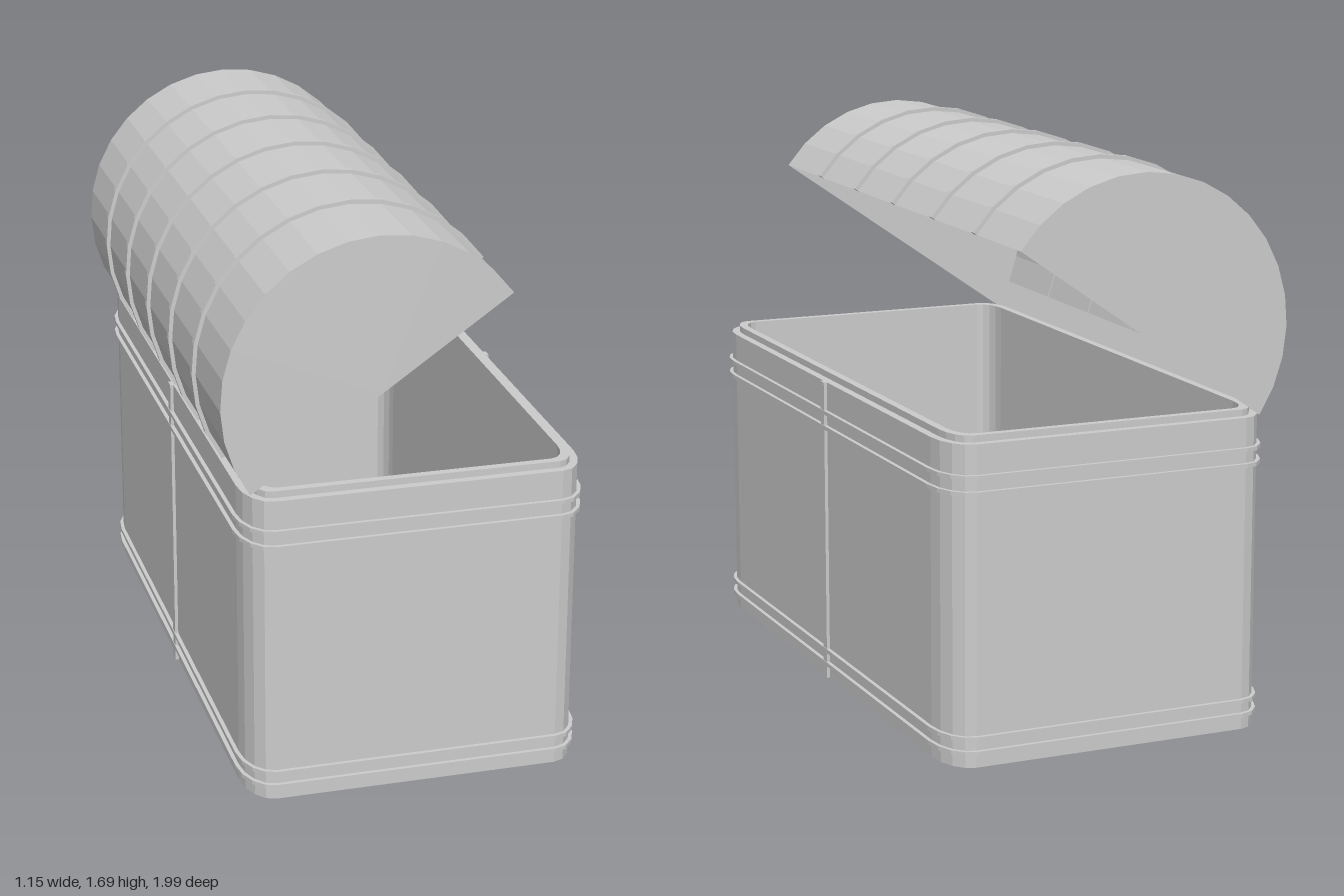
import * as THREE from 'three';

const A = 0.505, B = 0.972;      // half width and half length of the chest box
const RX = 0.08, RZ = 0.14;      // elliptical corner radii
const LID_R = 0.465, LID_HALF = 0.935;

// Rounded rectangle outline grown (or shrunk) by o, with faceted corners
function outline(o, PathType = THREE.Shape) {
  const rx = Math.max(RX + o, 0.05), rz = Math.max(RZ + o, 0.08);
  const cx = A + o - rx, cz = B + o - rz, n = 4, pts = [];
  [[1, 1], [-1, 1], [-1, -1], [1, -1]].forEach(([sx, sz], q) => {
    for (let i = 0; i <= n; i++) {
      const t = (q + i / n) * Math.PI / 2;
      pts.push(new THREE.Vector2(sx * cx + rx * Math.cos(t), sz * cz + rz * Math.sin(t)));
    }
  });
  return new PathType(pts);
}

// Upright slab, or ring when an inner offset is given, between two heights
function slab(outer, inner, y0, y1) {
  const shape = outline(outer);
  if (inner !== null) shape.holes.push(outline(inner, THREE.Path));
  const geo = new THREE.ExtrudeGeometry(shape, { depth: y1 - y0, bevelEnabled: false });
  return geo.rotateX(-Math.PI / 2).translate(0, y0, 0);
}

export function createModel() {
  const model = new THREE.Group();
  model.name = 'chest';
  const solid = new THREE.MeshStandardMaterial({ color: 0xcccccc, flatShading: true });
  const thin = new THREE.MeshStandardMaterial({ color: 0xcccccc, flatShading: true, side: THREE.DoubleSide });

  const add = (parent, name, geo, mat = solid) => {
    const mesh = new THREE.Mesh(geo, mat);
    mesh.name = name;
    parent.add(mesh);
    return mesh;
  };

  // Box: floor, walls and inset rim
  const box = new THREE.Group();
  box.name = 'box';
  add(box, 'floor', slab(-0.001, null, 0, 0.03));
  add(box, 'walls', slab(0, -0.05, 0, 0.94));
  add(box, 'rim', slab(-0.025, -0.05, 0.94, 0.96));

  // Pairs of thin bands near the bottom and top
  for (const y of [0.045, 0.088, 0.8, 0.847])
    add(box, 'band', slab(0.012, -0.01, y - 0.006, y + 0.006));

  // Vertical strip in the middle of each long side
  for (const s of [-1, 1])
    add(box, 'sideStrip', new THREE.BoxGeometry(0.02, 0.94, 0.03)).position.set(s * A, 0.47, 0);

  // Lid: open half barrel with closed ends, swung back on its hinge edge
  const lid = new THREE.Group();
  lid.name = 'lid';
  const barrel = new THREE.CylinderGeometry(LID_R, LID_R, 2 * LID_HALF, 16, 1, true, -Math.PI / 2, Math.PI);
  add(lid, 'lidBarrel', barrel.rotateX(-Math.PI / 2).rotateZ(0), thin);
  for (const s of [-1, 1])
    add(lid, 'lidEnd', new THREE.CircleGeometry(LID_R, 16, 0, Math.PI), thin).position.z = s * LID_HALF;

  // Raised ribs across the barrel
  const arc = (r, flip) => Array.from({ length: 17 }, (_, i) => {
    const t = Math.PI * (flip ? 16 - i : i) / 16;
    return new THREE.Vector2(r * Math.cos(t), r * Math.sin(t));
  });
  const ribShape = new THREE.Shape([...arc(LID_R + 0.012, false), ...arc(LID_R - 0.004, true)]);
  const ribGeo = new THREE.ExtrudeGeometry(ribShape, { depth: 0.022, bevelEnabled: false });
  for (let i = -2; i <= 2; i++)
    add(lid, 'lidRib', ribGeo).position.z = i * 0.31 - 0.011;

  lid.position.set(-0.106, 1.208, 0);
  lid.rotation.set(-0.008, 0, THREE.MathUtils.degToRad(34.7));

  // The whole chest sits slightly turned
  model.add(box, lid);
  const turned = new THREE.Group();
  turned.name = 'turnedChest';
  turned.add(box, lid);
  turned.position.x = 0.025;
  turned.rotation.y = 0.032;
  model.add(turned);
  return model;
}
